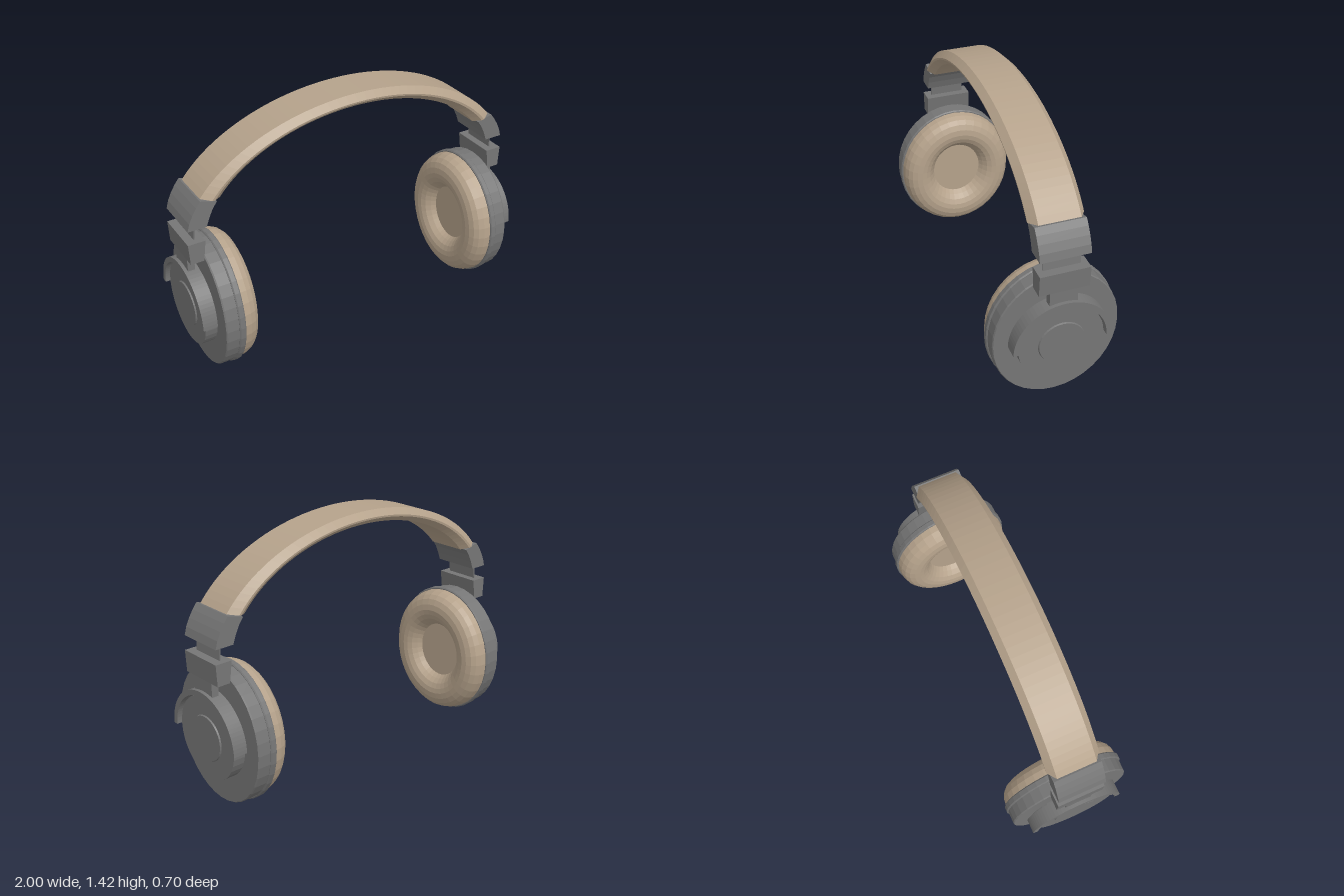
import * as THREE from 'three';

const tan = new THREE.MeshStandardMaterial({ color: 0xb5a28b });
tan.name = 'tan leather';
const grey = new THREE.MeshStandardMaterial({ color: 0x767676 });
grey.name = 'grey plastic';

const CUP_Y = 0.395;

// Faceted mesh from any geometry
function part(name, geometry, material) {
  const g = geometry.index ? geometry.toNonIndexed() : geometry;
  g.computeVertexNormals();
  const mesh = new THREE.Mesh(g, material);
  mesh.name = name;
  return mesh;
}

// Solid turned about the x axis through the cup centre; profile is [x, radius]
function turned(name, profile, material, zScale = 1, segments = 36) {
  const g = new THREE.LatheGeometry(profile.map(([x, r]) => new THREE.Vector2(r, x)), segments);
  g.rotateZ(-Math.PI / 2).scale(1, 1, zScale).translate(0, CUP_Y, 0);
  return part(name, g, material);
}

// Side profile in x, y extruded evenly to both sides of z = 0
function slab(name, points, halfWidth) {
  const shape = new THREE.Shape(points.map(([x, y]) => new THREE.Vector2(x, y)));
  const g = new THREE.ExtrudeGeometry(shape, { depth: halfWidth * 2, bevelEnabled: false });
  return part(name, g.translate(0, 0, -halfWidth), grey);
}

// Padded band: chamfered section [z, offset] swept over an elliptical arch
function headband() {
  const section = [
    [-0.11, -0.035], [0.11, -0.035], [0.143, -0.008], [0.145, 0.002],
    [0.11, 0.035], [-0.11, 0.035], [-0.145, 0.002], [-0.143, -0.008],
  ];
  const n = section.length, steps = 40, pos = [], index = [];
  for (let i = 0; i <= steps; i++) {
    for (const [z, t] of section) {
      const a = 0.945 + 1.6 * t, b = 0.595 + t;
      const start = Math.asin((0.27 + 0.3 * t) / b);
      const angle = start + (Math.PI - 2 * start) * i / steps;
      pos.push(a * Math.cos(angle), 0.8 + b * Math.sin(angle), z);
    }
  }
  for (let i = 0; i < steps; i++) {
    for (let j = 0; j < n; j++) {
      const k = (j + 1) % n;
      const a = i * n + j, b = i * n + k, c = b + n, d = a + n;
      index.push(a, b, c, a, c, d);
    }
  }
  const last = steps * n;
  for (let j = 1; j < n - 1; j++) {
    index.push(0, j + 1, j, last, last + j, last + j + 1);
  }
  const g = new THREE.BufferGeometry();
  g.setAttribute('position', new THREE.Float32BufferAttribute(pos, 3));
  g.setIndex(index);
  return part('headband', g, tan);
}

// Half-ring yoke hugging the upper half of the cup's outer disc
function yoke() {
  const shape = new THREE.Shape();
  shape.absarc(0, 0, 0.265, 0, Math.PI, false);
  shape.absarc(0, 0, 0.236, Math.PI, 0, true);
  const g = new THREE.ExtrudeGeometry(shape, { depth: 0.08, bevelEnabled: false, curveSegments: 20 });
  g.rotateY(Math.PI / 2).translate(0.92, CUP_Y, 0);
  return part('yoke', g, grey);
}

// Everything on one side, built at +x
function earpiece(name) {
  const side = new THREE.Group();
  side.name = name;
  side.add(
    // ring cushion with a sunken centre
    turned('earCushion', [
      [0.762, 0], [0.762, 0.165], [0.735, 0.185], [0.71, 0.21], [0.696, 0.24], [0.691, 0.27],
      [0.695, 0.305], [0.708, 0.337], [0.73, 0.36], [0.76, 0.374], [0.8, 0.379],
    ], tan, 0.9),
    // cup rim and shell
    turned('cupRim', [[0.797, 0], [0.797, 0.384], [0.803, 0.39], [0.828, 0.39], [0.834, 0.384], [0.834, 0]], grey, 0.9),
    turned('cupShell', [[0.83, 0], [0.83, 0.381], [0.9, 0.381], [0.907, 0.376], [0.907, 0]], grey, 0.9),
    // outer disc with a raised button
    turned('outerDisc', [[0.9, 0], [0.9, 0.23], [0.975, 0.23], [0.975, 0]], grey),
    turned('discButton', [[0.97, 0], [0.97, 0.128], [0.983, 0.122], [0.983, 0]], grey),
    yoke(),
    // stem, slider and bracket up to the band
    slab('yokeStem', [[0.941, 0.645], [0.981, 0.645], [0.981, 0.735], [0.941, 0.735]], 0.074),
    slab('sliderBlock', [[0.91, 0.728], [0.984, 0.728], [0.99, 0.846], [0.894, 0.846]], 0.133),
    slab('sliderStrip', [[0.938, 0.84], [0.944, 0.84], [0.935, 0.935], [0.929, 0.935]], 0.098),
    slab('bandBracket', [
      [0.88, 0.925], [0.985, 0.925], [0.973, 0.968], [0.953, 1.01], [0.93, 1.048],
      [0.905, 1.08], [0.815, 1.055], [0.841, 1.018], [0.863, 0.972],
    ], 0.133),
  );
  return side;
}

export function createModel() {
  const model = new THREE.Group();
  model.name = 'headphones';
  const left = earpiece('leftEarpiece');
  const right = earpiece('rightEarpiece');
  right.rotation.y = Math.PI;
  model.add(headband(), left, right);
  return model;
}
